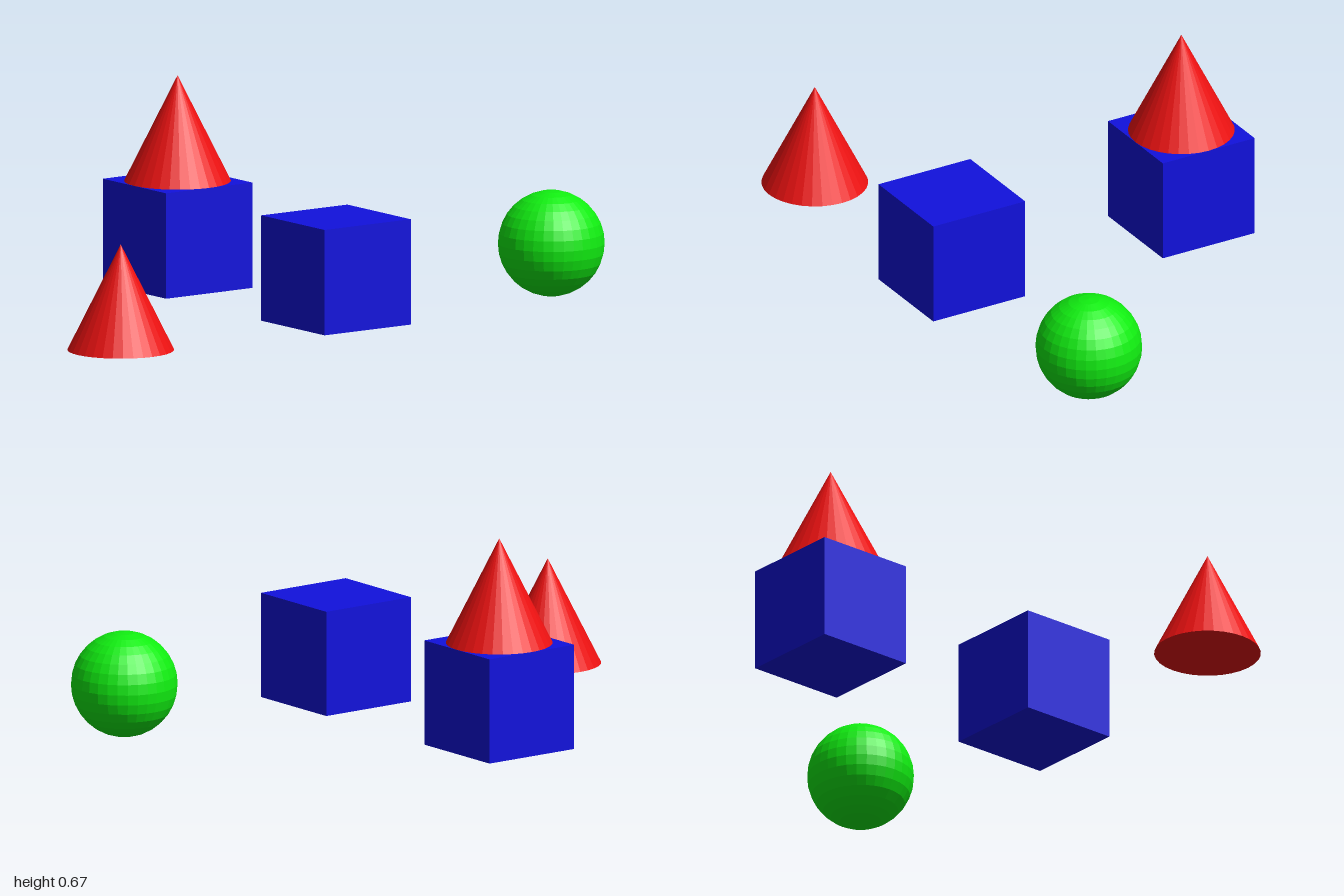
import * as THREE from 'three';

const SIZE = 1 / 3; // width and height of every solid
const R = SIZE / 2;
const SIDE_X = 1 - R;
const ROW_Z = 2.5 * R;

export function createModel() {
  const group = new THREE.Group();
  const paint = (color) => new THREE.MeshStandardMaterial({ color, flatShading: true });
  const red = paint(0xee1111);
  const green = paint(0x11ee11);
  const blue = paint(0x1111dd);

  const box = new THREE.BoxGeometry(SIZE, SIZE, SIZE);
  const cone = new THREE.ConeGeometry(R, SIZE, 32);
  const ball = new THREE.SphereGeometry(R, 32, 16);

  // Places a solid with its underside at the given height
  const place = (name, geometry, material, x, base, z) => {
    const mesh = new THREE.Mesh(geometry, material);
    mesh.name = name;
    mesh.position.set(x, base + R, z);
    group.add(mesh);
  };

  // Front row: cone, cube, ball
  place('frontCone', cone, red, -SIDE_X, 0, ROW_Z);
  place('frontCube', box, blue, 0, 0, ROW_Z);
  place('frontBall', ball, green, SIDE_X, 0, ROW_Z);

  // Back: cone stacked on a cube
  place('backCube', box, blue, 0, 0, -ROW_Z);
  place('stackedCone', cone, red, 0, SIZE, -ROW_Z);

  return group;
}
